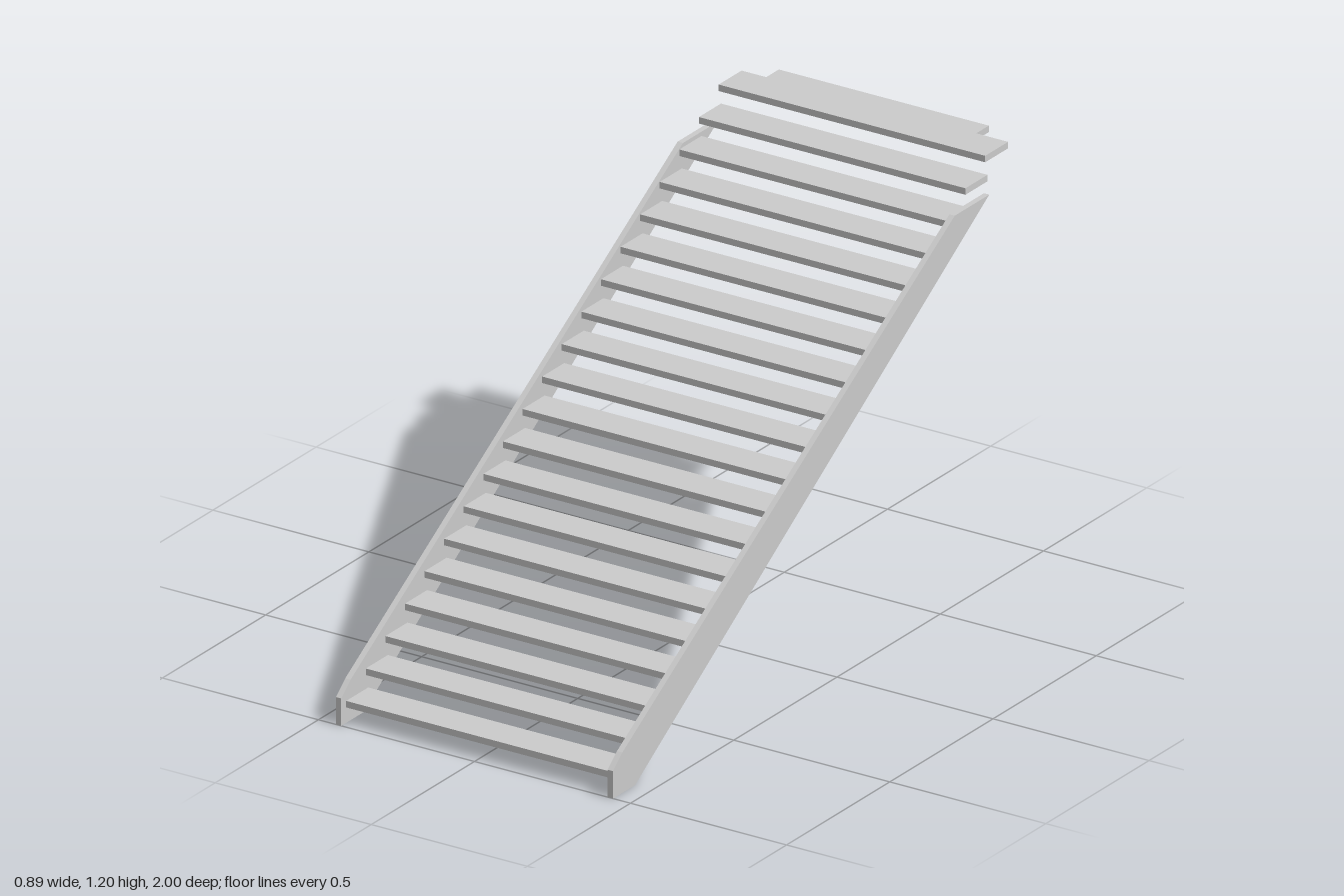
import * as THREE from 'three';

const material = new THREE.MeshStandardMaterial({ color: 0xcccccc, flatShading: true });

// Prism from a 2D outline, extruded along +z by depth
function prism(points, depth) {
  const shape = new THREE.Shape(points.map(([x, y]) => new THREE.Vector2(x, y)));
  return new THREE.ExtrudeGeometry(shape, { depth, bevelEnabled: false });
}

function add(group, name, geometry) {
  const mesh = new THREE.Mesh(geometry, material);
  mesh.name = name;
  group.add(mesh);
  return mesh;
}

export function createModel() {
  const group = new THREE.Group();
  group.name = 'staircase';

  const half = 0.427, thick = 0.019, depth = 0.107;
  const rise = 0.0598, run = 0.0949, steps = 19;
  const firstTop = 0.064, firstFront = 0.976;

  // Open treads
  const treadGeometry = new THREE.BoxGeometry(half * 2, thick, depth);
  for (let i = 0; i < steps; i++) {
    add(group, `tread${i + 1}`, treadGeometry)
      .position.set(0, firstTop + i * rise - thick / 2, firstFront - i * run - depth / 2);
  }

  // Notched landing board; outline in (x, -z), laid flat
  const landing = prism([
    [-half, 0.828], [half, 0.828], [half, 0.939], [0.325, 0.939],
    [0.325, 1], [-0.348, 1], [-0.348, 0.939], [-half, 0.939],
  ], thick).rotateX(-Math.PI / 2);
  add(group, 'landing', landing).position.y = 1.2 - thick;

  // Side stringers; outline in (-z, y), turned to run along x
  const width = 0.017;
  const stringer = prism([
    [-1, 0], [-0.893, 0], [0.822, 1.093], [0.655, 1.093], [-0.955, 0.118], [-1, 0.08],
  ], width).rotateY(Math.PI / 2);
  add(group, 'leftStringer', stringer).position.x = half;
  add(group, 'rightStringer', stringer).position.x = -half - width;

  return group;
}
